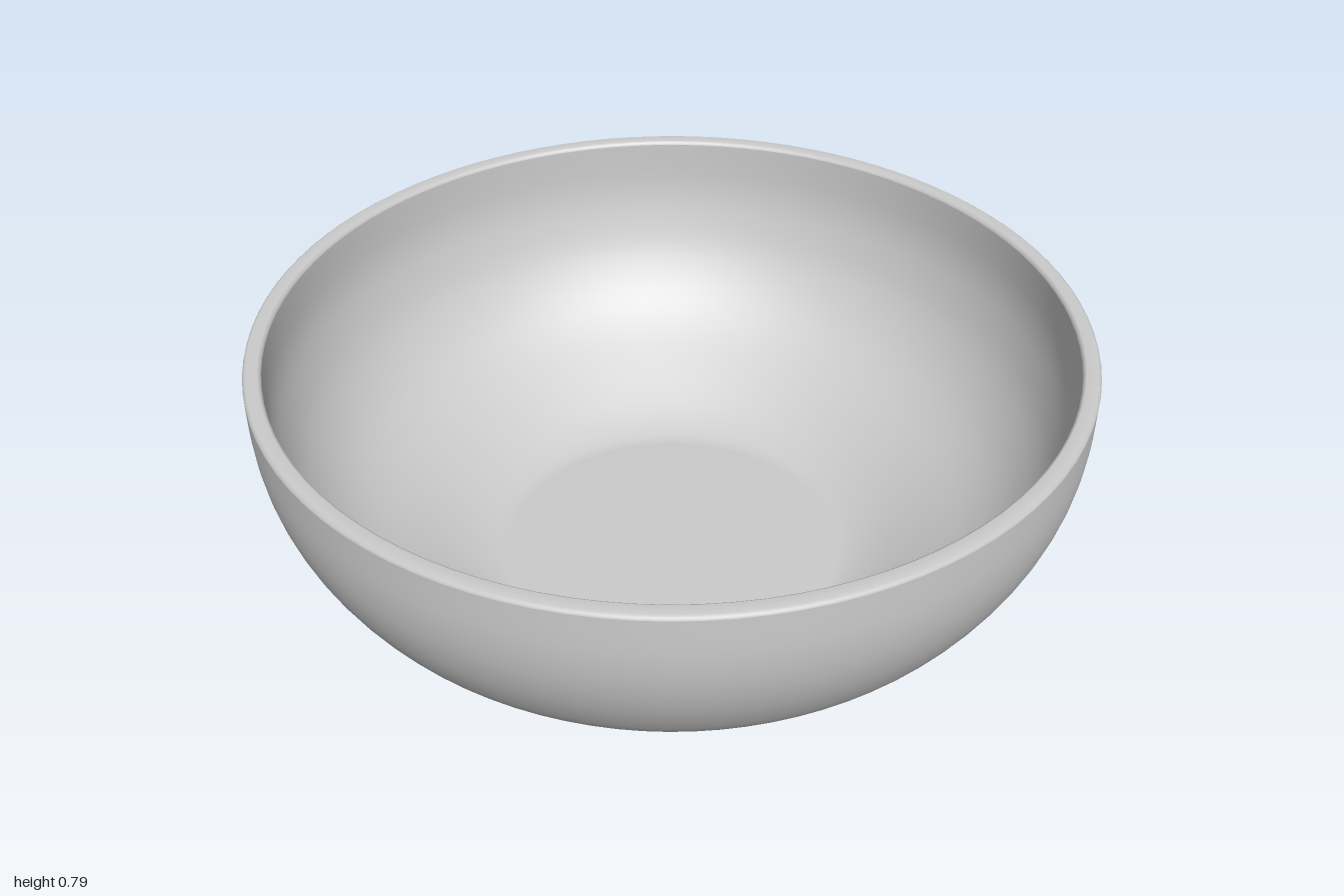
import * as THREE from 'three';

const SEGMENTS = 96;
const material = new THREE.MeshStandardMaterial({ color: 0xcccccc, side: THREE.DoubleSide });

const toPoints = (pairs) => pairs.map(([r, y]) => new THREE.Vector2(r, y));

// Smooth curve through a few profile points
const smooth = (pairs, n) => new THREE.SplineCurve(toPoints(pairs)).getPoints(n);

function turned(name, points) {
  const mesh = new THREE.Mesh(new THREE.LatheGeometry(points, SEGMENTS), material);
  mesh.name = name;
  return mesh;
}

export function createModel() {
  const bowl = new THREE.Group();
  bowl.name = 'bowl';

  // Flat underside of the foot
  bowl.add(turned('footBase', toPoints([[0, 0], [0.53, 0]])));

  // Outer wall: flared foot, concave waist, rounded belly, upright lip
  bowl.add(turned('outerWall', smooth([
    [0.53, 0], [0.545, 0.015], [0.57, 0.065], [0.61, 0.125], [0.68, 0.185], [0.79, 0.26],
    [0.875, 0.345], [0.94, 0.45], [0.98, 0.555], [0.998, 0.66], [1, 0.78],
  ], 60)));

  // Narrow rim with softened edges
  bowl.add(turned('rim', toPoints([
    [1, 0.78], [0.998, 0.786], [0.992, 0.79], [0.965, 0.79], [0.959, 0.786], [0.957, 0.78],
  ])));

  // Inner wall curving down into a flat floor
  bowl.add(turned('innerWall', [
    ...smooth([
      [0.957, 0.78], [0.955, 0.66], [0.937, 0.565], [0.9, 0.465], [0.838, 0.37],
      [0.76, 0.295], [0.65, 0.22], [0.54, 0.155], [0.46, 0.123], [0.41, 0.12],
    ], 60),
    ...toPoints([[0.36, 0.12], [0, 0.12]]),
  ]));

  return bowl;
}
